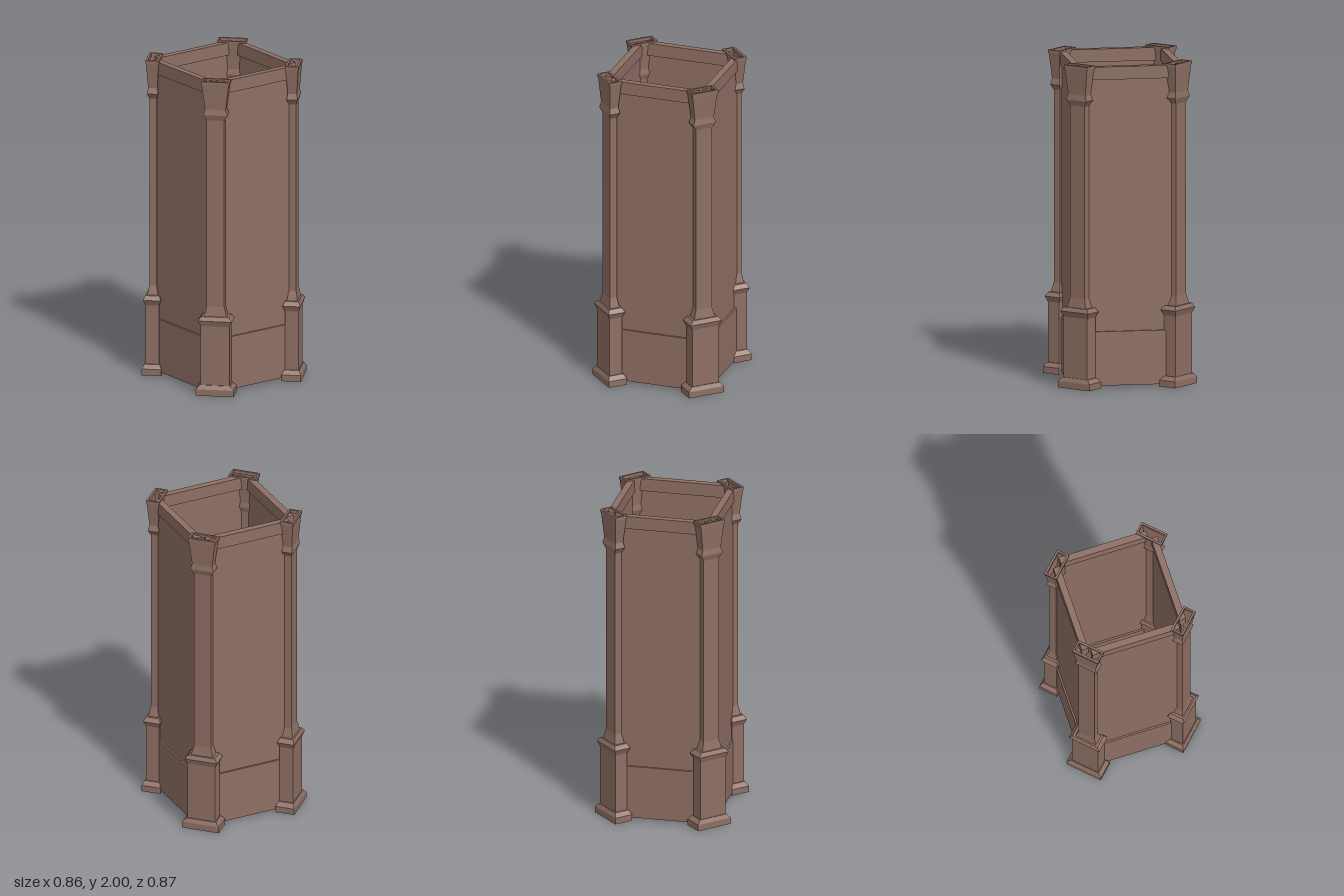
import * as THREE from 'three';

const brown = new THREE.MeshStandardMaterial({ color: 0x8d6e63, side: THREE.DoubleSide, flatShading: true });
brown.name = 'warm brown';

// Pillar rings from the ground up: [height, width, depth]
const PILLAR = [
  [0, 0.235, 0.12], [0.04, 0.235, 0.12], [0.065, 0.19, 0.095], // foot
  [0.065, 0.177, 0.085], [0.44, 0.177, 0.085],                 // plinth block
  [0.475, 0.21, 0.11], [0.5, 0.17, 0.085],                     // plinth moulding
  [0.5, 0.14, 0.066], [0.56, 0.108, 0.045],                    // flared shaft root
  [1.75, 0.108, 0.045],                                        // shaft
  [1.785, 0.152, 0.068], [1.82, 0.128, 0.056],                 // collar
  [1.98, 0.167, 0.078], [1.98, 0.175, 0.083], [2, 0.175, 0.083], // capital
  [2, 0.152, 0.056], [1.98, 0.15, 0.054],                      // open rim
];

// Skin a stack of rectangular rings into a hollow shell
function ringShell(rings) {
  const corners = [[-1, 1], [1, 1], [1, -1], [-1, -1]];
  const pos = [], idx = [];
  for (const [y, w, d] of rings) {
    for (const [cx, cz] of corners) pos.push(cx * w / 2, y, cz * d / 2);
  }
  for (let i = 0; i < rings.length - 1; i++) {
    for (let k = 0; k < 4; k++) {
      const a = i * 4 + k, b = i * 4 + (k + 1) % 4;
      idx.push(a, b, b + 4, a, b + 4, a + 4);
    }
  }
  const indexed = new THREE.BufferGeometry();
  indexed.setAttribute('position', new THREE.Float32BufferAttribute(pos, 3));
  indexed.setIndex(idx);
  const geo = indexed.toNonIndexed();
  geo.computeVertexNormals();
  return geo;
}

// One wall: base panel, thin main panel and top band
function makeWall(name) {
  const wall = new THREE.Group();
  wall.name = name;
  const parts = [
    ['basePanel', 0.51, 0.015, 0.35, 0.04],
    ['mainPanel', 0.56, 0.35, 1.91, 0.018],
    ['topBand', 0.56, 1.91, 1.99, 0.042],
  ];
  for (const [part, width, y0, y1, depth] of parts) {
    const mesh = new THREE.Mesh(new THREE.BoxGeometry(width, y1 - y0, depth), brown);
    mesh.name = part;
    mesh.position.y = (y0 + y1) / 2;
    wall.add(mesh);
  }
  return wall;
}

export function createModel() {
  const model = new THREE.Group();
  model.name = 'squareTower';

  // Corner pillars, broad faces turned outward
  const pillarGeo = ringShell(PILLAR);
  const pillars = [
    ['frontLeftPillar', 0.305, 0.301],
    ['frontRightPillar', -0.293, 0.309],
    ['backLeftPillar', 0.293, -0.311],
    ['backRightPillar', -0.305, -0.305],
  ];
  for (const [name, x, z] of pillars) {
    const pillar = new THREE.Mesh(pillarGeo, brown);
    pillar.name = name;
    pillar.position.set(x, 0, z);
    pillar.rotation.y = Math.atan2(Math.sign(x), Math.sign(z));
    model.add(pillar);
  }

  // Four walls between the pillars, open above and below
  const walls = [
    ['frontWall', 0, 0.309, 0],
    ['backWall', 0, -0.317, Math.PI],
    ['leftWall', 0.316, -0.005, Math.PI / 2],
    ['rightWall', -0.311, -0.005, -Math.PI / 2],
  ];
  for (const [name, x, z, turn] of walls) {
    const wall = makeWall(name);
    wall.position.set(x, 0, z);
    wall.rotation.y = turn;
    model.add(wall);
  }
  return model;
}
